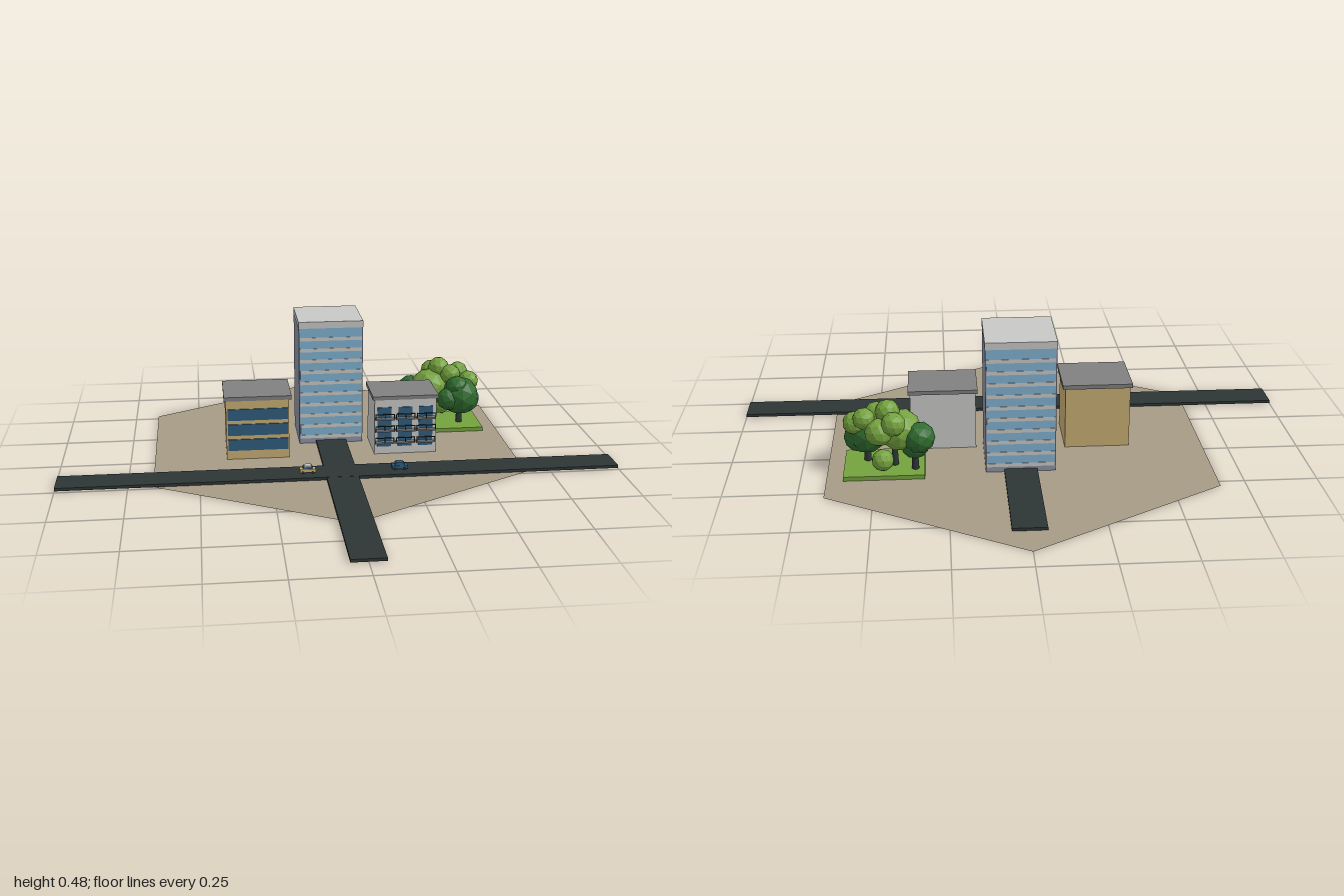
import * as THREE from 'three';

const mat = (name, color, extra = {}) => {
  const m = new THREE.MeshStandardMaterial({ color, ...extra });
  m.name = name;
  return m;
};

export function createModel() {
  const M = {
    soil: mat('soil', 0xa69b86, { side: THREE.DoubleSide }),
    asphalt: mat('asphalt', 0x2d3635),
    tan: mat('tan', 0xc8ae74),
    darkGlass: mat('dark glass', 0x2f5d7c),
    skyGlass: mat('sky glass', 0x7fb2d2),
    lightGrey: mat('light grey', 0xc8c8c6),
    lilac: mat('lilac grey', 0x8d93a6),
    roofGrey: mat('roof grey', 0x808080),
    leafLight: mat('light leaf', 0x74a23e, { flatShading: true }),
    leafDark: mat('dark leaf', 0x2f6b2f, { flatShading: true }),
  };
  const model = new THREE.Group();
  model.name = 'cityBlock';

  const group = (name, parent = model) => {
    const g = new THREE.Group();
    g.name = name;
    parent.add(g);
    return g;
  };
  const add = (parent, name, geo, material, x = 0, y = 0, z = 0) => {
    const mesh = new THREE.Mesh(geo, material);
    mesh.name = name;
    mesh.position.set(x, y, z);
    parent.add(mesh);
    return mesh;
  };
  // Box given by its limits on each axis
  const box = (parent, name, material, [x0, x1], [y0, y1], [z0, z1]) =>
    add(parent, name, new THREE.BoxGeometry(x1 - x0, y1 - y0, z1 - z0), material,
      (x0 + x1) / 2, (y0 + y1) / 2, (z0 + z1) / 2);

  // Hexagonal ground sheet
  const hex = new THREE.CircleGeometry(0.765, 6, Math.PI / 2).rotateX(-Math.PI / 2);
  add(model, 'ground', hex, M.soil, 0, 0, -0.148);

  // Crossing roads
  const roads = group('roads');
  box(roads, 'mainRoad', M.asphalt, [-1, 1], [0.002, 0.0125], [0.125, 0.24]);
  box(roads, 'backRoad', M.asphalt, [-0.057, 0.057], [0.002, 0.012], [-0.79, 0.125]);
  box(roads, 'frontRoad', M.asphalt, [-0.057, 0.057], [0.002, 0.012], [0.24, 0.91]);

  // Office with three ribbon windows
  const office = group('office');
  box(office, 'officeWalls', M.tan, [-0.4, -0.17], [0.001, 0.226], [-0.205, -0.005]);
  box(office, 'officeRoof', M.roofGrey, [-0.407, -0.16], [0.226, 0.241], [-0.21, 0]);
  for (const y of [0.035, 0.093, 0.151])
    box(office, 'ribbonWindow', M.darkGlass, [-0.394, -0.174], [y, y + 0.043], [-0.006, -0.001]);

  // Tower with banded glass on the front and back
  const tower = group('tower');
  box(tower, 'towerWalls', M.lilac, [-0.12, 0.12], [0.001, 0.452], [-0.383, -0.147]);
  box(tower, 'towerCap', M.lightGrey, [-0.121, 0.121], [0.452, 0.477], [-0.386, -0.144]);
  for (const [z, out] of [[-0.147, 1], [-0.383, -1]]) {
    add(tower, 'glassWall', new THREE.BoxGeometry(0.232, 0.43, 0.003), M.skyGlass, 0, 0.237, z + out * 0.001);
    for (let i = 0; i < 10; i++)
      add(tower, 'floorBand', new THREE.BoxGeometry(0.232, 0.013, 0.004), M.lightGrey,
        0, 0.028 + i * 0.0425, z + out * 0.002);
  }

  // Apartments with windows and balconies
  const flats = group('apartments');
  box(flats, 'apartmentWalls', M.lightGrey, [0.146, 0.377], [0.001, 0.211], [-0.185, -0.003]);
  box(flats, 'apartmentRoof', M.roofGrey, [0.139, 0.384], [0.211, 0.225], [-0.19, 0.001]);
  for (const x of [0.183, 0.26, 0.337]) {
    box(flats, 'tallWindow', M.darkGlass, [x - 0.026, x + 0.026], [0.03, 0.182], [-0.004, 0]);
    for (const y of [0.048, 0.094, 0.14]) {
      const balcony = group('balcony', flats);
      box(balcony, 'balconyFloor', M.roofGrey, [x - 0.036, x + 0.036], [y - 0.003, y + 0.003], [-0.003, 0.016]);
      box(balcony, 'balconyRail', M.asphalt, [x - 0.036, x + 0.036], [y + 0.018, y + 0.021], [0.013, 0.016]);
      for (const side of [-0.0345, 0, 0.0345])
        box(balcony, 'balconyPost', M.asphalt,
          [x + side - 0.0015, x + side + 0.0015], [y, y + 0.018], [0.013, 0.016]);
    }
  }

  // Park: lawn, trunks and clustered crowns
  const park = group('park');
  box(park, 'lawn', M.leafLight, [0.328, 0.605], [0.002, 0.017], [-0.42, -0.21]);
  for (const [x, z] of [[0.36, -0.365], [0.43, -0.33], [0.525, -0.29]])
    add(park, 'trunk', new THREE.CylinderGeometry(0.009, 0.013, 0.1, 7), M.asphalt, x, 0.06, z);
  const crown = (name, material, blobs) => {
    const g = group(name, park);
    blobs.forEach(([x, y, z, r], i) => {
      const leaf = add(g, 'leafCluster', new THREE.IcosahedronGeometry(r, 1), material, x, y, z);
      leaf.rotation.set(i * 1.3, i * 0.9, i * 0.5);
    });
  };
  crown('lightCrown', M.leafLight, [
    [0.41, 0.15, -0.335, 0.074], [0.45, 0.225, -0.35, 0.042], [0.53, 0.205, -0.36, 0.038],
    [0.565, 0.175, -0.325, 0.04], [0.48, 0.165, -0.385, 0.048], [0.47, 0.06, -0.385, 0.038],
    [0.43, 0.2, -0.4, 0.042], [0.49, 0.205, -0.315, 0.04],
  ]);
  crown('darkCrown', M.leafDark, [
    [0.525, 0.125, -0.29, 0.075], [0.55, 0.11, -0.295, 0.055], [0.475, 0.12, -0.265, 0.045],
    [0.51, 0.165, -0.275, 0.045],
  ]);
  crown('rearDarkCrown', M.leafDark, [[0.345, 0.135, -0.37, 0.055], [0.36, 0.1, -0.35, 0.05]]);

  // Cars on the main road
  const car = (name, x, body, cab, trim) => {
    const g = group(name);
    g.position.set(x, 0.0125, 0.185);
    box(g, 'carBody', body, [-0.028, 0.028], [0.004, 0.016], [-0.014, 0.014]);
    box(g, 'carCabin', trim, [-0.017, 0.017], [0.016, 0.024], [-0.012, 0.012]);
    box(g, 'carRoof', cab, [-0.013, 0.013], [0.024, 0.028], [-0.012, 0.012]);
    for (const wx of [-0.017, 0.017])
      for (const wz of [-0.013, 0.013])
        add(g, 'wheel', new THREE.CylinderGeometry(0.005, 0.005, 0.005, 10).rotateX(Math.PI / 2),
          M.asphalt, wx, 0.005, wz);
  };
  car('paleCar', -0.12, M.tan, M.lightGrey, M.darkGlass);
  car('blueCar', 0.21, M.darkGlass, M.darkGlass, M.darkGlass);

  return model;
}
